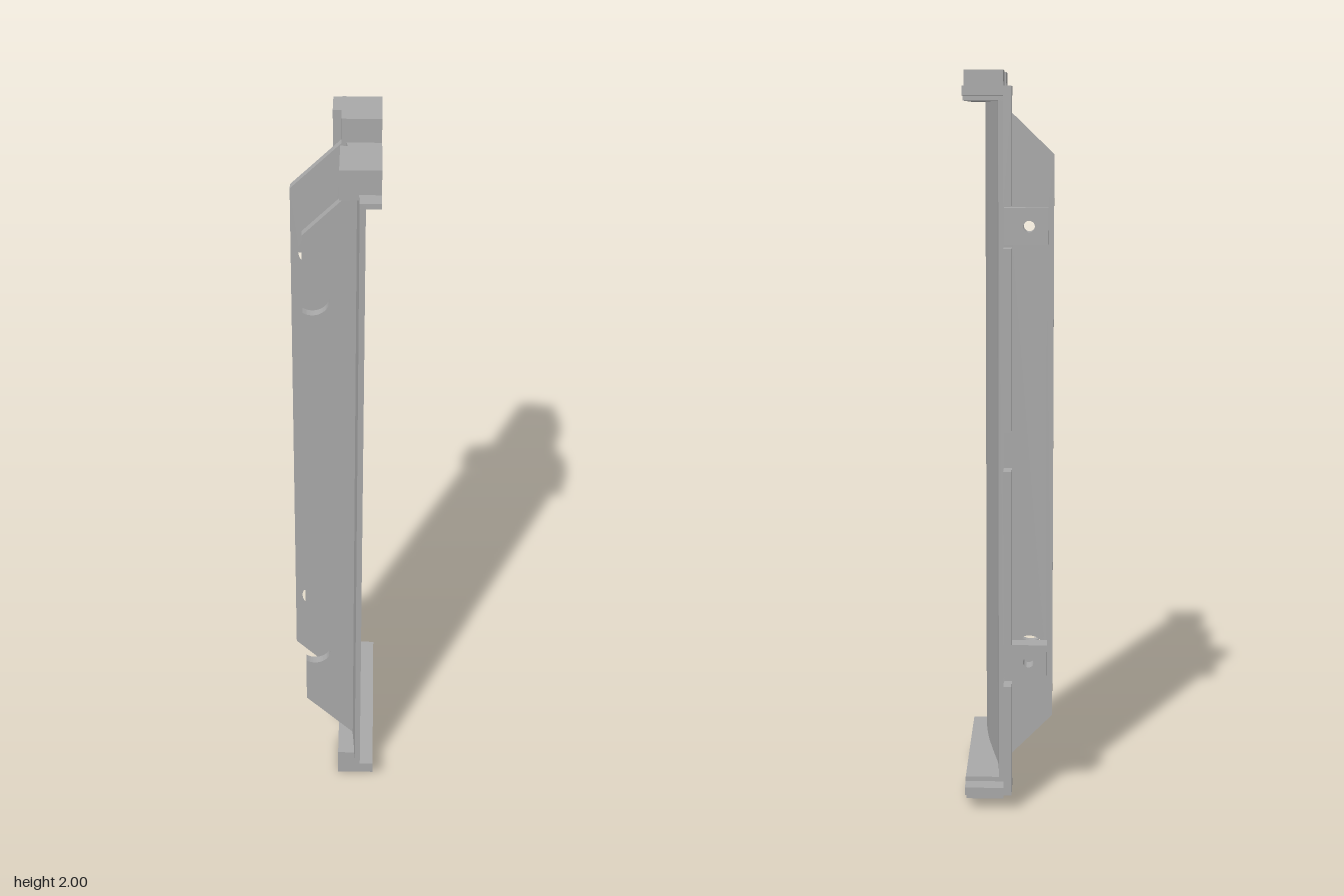
import * as THREE from 'three';
import { toCreasedNormals } from 'three/addons/utils/BufferGeometryUtils.js';

const grey = new THREE.MeshStandardMaterial({ color: 0xa8a8a8 });
grey.name = 'plain grey';

export function createModel() {
  const model = new THREE.Group();
  model.name = 'curvedPanel';

  const add = (name, geometry) => {
    const mesh = new THREE.Mesh(geometry, grey);
    mesh.name = name;
    model.add(mesh);
    return mesh;
  };
  // Box given by its limits
  const box = (name, x0, x1, y0, y1, z0, z1) =>
    add(name, new THREE.BoxGeometry(x1 - x0, y1 - y0, z1 - z0))
      .position.set((x0 + x1) / 2, (y0 + y1) / 2, (z0 + z1) / 2);
  const extrude = (shape, depth) =>
    new THREE.ExtrudeGeometry(shape, { depth, bevelEnabled: false, curveSegments: 20 });
  const rectangle = (x0, x1, y0, y1) => new THREE.Shape([
    new THREE.Vector2(x0, y0), new THREE.Vector2(x1, y0),
    new THREE.Vector2(x1, y1), new THREE.Vector2(x0, y1)]);
  const hole = (x, y, r) => new THREE.Path().absarc(x, y, r, 0, Math.PI * 2, true);
  // Plan outline (x, -z) raised from y0 to y1
  const plan = (name, points, y0, y1) => {
    const g = extrude(new THREE.Shape(points), y1 - y0).rotateX(-Math.PI / 2).translate(0, y0, 0);
    add(name, toCreasedNormals(g, 0.4));
  };

  // Gently curved main sheet, listed from the front edge to the back edge
  const curve = new THREE.SplineCurve([
    [0.065, -0.28], [0.061, -0.2], [0.052, -0.1], [0.037, 0],
    [0.027, 0.06], [0.016, 0.13], [0.011, 0.23],
  ].map(p => new THREE.Vector2(...p))).getPoints(28);
  const outer = curve.map(p => new THREE.Vector2(p.x + 0.015, p.y)).reverse();
  plan('sheet', [...curve, ...outer], 0.07, 1.93);

  // End caps between the sheet and the straight outer edge
  const capOutline = [...curve, new THREE.Vector2(0.118, 0.23), new THREE.Vector2(0.118, -0.28)];
  plan('bottomCap', capOutline, 0.065, 0.08);
  plan('topCap', capOutline, 1.92, 1.935);

  // Shelves at the back corners
  box('bottomShelf', -0.01, 0.118, 0.045, 0.067, -0.28, -0.197);
  box('topShelf', -0.01, 0.118, 1.933, 1.957, -0.28, -0.197);

  // Back flange, broken by three gaps
  for (const [y0, y1] of [[0.06, 0.355], [0.465, 0.95], [1.055, 1.54], [1.65, 1.94]])
    box('backFlange', -0.01, 0.012, y0, y1, -0.28, -0.225);

  // Mounting blocks: one through hole and one blind hole each
  for (const y0 of [0.005, 1.925]) {
    const low = y0 < 1;
    const b0 = low ? 0 : 1.92, b1 = low ? 0.08 : 2, hy = low ? 0.035 : 1.965;
    for (const [zBack, zFront] of [[-0.187, -0.052], [0.102, 0.235]]) {
      const through = zBack + 0.042, blind = zFront - 0.03;
      for (const [x0, x1, holes] of [[0.015, 0.06, [through]], [0.06, 0.118, [through, blind]]]) {
        const shape = rectangle(-zFront, -zBack, b0, b1);
        holes.forEach(z => shape.holes.push(hole(-z, hy, 0.015)));
        add('mountingBlock', toCreasedNormals(extrude(shape, x1 - x0), 0.6)
          .rotateY(Math.PI / 2).translate(x0, 0, 0));
      }
    }
  }

  // Long ribs with sloping ends
  const lugX = -0.055, lugYs = [0.41, 1.595], r = 0.045;
  const rearRib = new THREE.Shape([[0.02, 0.085], [-0.12, 0.225], [-0.12, 1.78], [0.02, 1.915]]
    .map(p => new THREE.Vector2(...p)));
  lugYs.forEach(y => rearRib.holes.push(hole(lugX, y, r)));
  add('rearRib', toCreasedNormals(extrude(rearRib, 0.025), 0.6)).position.z = -0.125;

  // The front rib is shallower, so its round holes open into notches
  const frontRib = new THREE.Shape();
  const edge = -0.08, a = Math.acos((edge - lugX) / r);
  frontRib.moveTo(0.06, 0.085);
  frontRib.lineTo(edge, 0.225);
  for (const y of lugYs) {
    frontRib.lineTo(edge, y - r * Math.sin(a));
    frontRib.absarc(lugX, y, r, -a, a, false);
  }
  frontRib.lineTo(edge, 1.78);
  frontRib.lineTo(0.06, 1.918);
  add('frontRib', toCreasedNormals(extrude(frontRib, 0.025), 0.6)).position.z = 0.13;

  // Drilled lugs behind the ribs
  for (const y of lugYs) {
    const shape = rectangle(-0.105, 0.018, y - 0.048, y + 0.048);
    shape.holes.push(hole(lugX, y, 0.015));
    add('lug', toCreasedNormals(extrude(shape, 0.05), 0.6)).position.z = -0.23;
  }
  return model;
}
